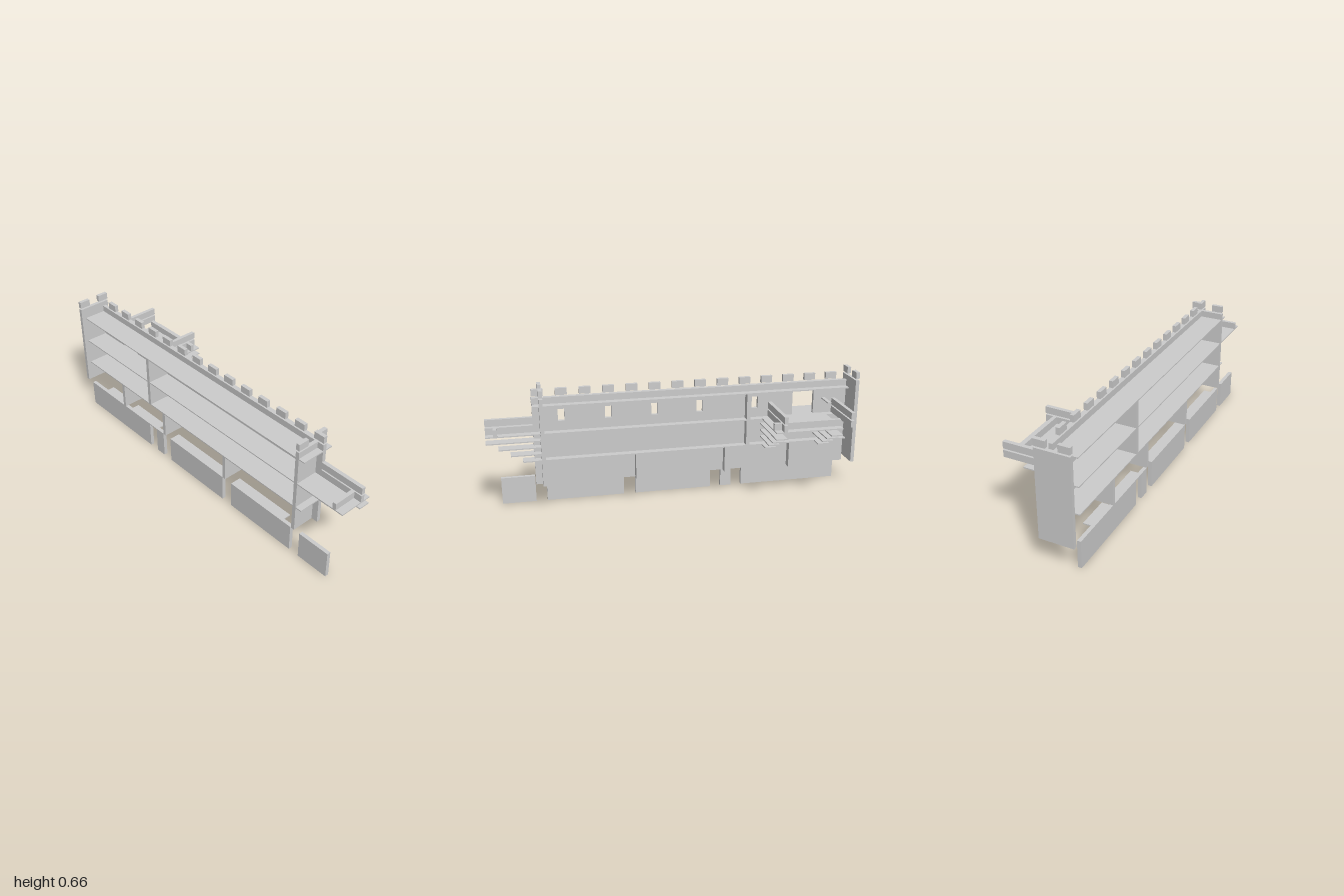
import * as THREE from 'three';

const mat = new THREE.MeshStandardMaterial({ color: 0xcccccc, flatShading: true });

export function createModel() {
  const root = new THREE.Group();

  // box given by its extents along each axis
  const box = (name, [x0, x1], [y0, y1], [z0, z1]) => {
    const m = new THREE.Mesh(new THREE.BoxGeometry(x1 - x0, y1 - y0, z1 - z0), mat);
    m.position.set((x0 + x1) / 2, (y0 + y1) / 2, (z0 + z1) / 2);
    m.name = name;
    root.add(m);
  };
  const rect = (C, z0, z1, y0, y1) => {
    const p = new C();
    p.moveTo(z0, y0); p.lineTo(z1, y0); p.lineTo(z1, y1); p.lineTo(z0, y1); p.closePath();
    return p;
  };

  const FULL = [-0.212, -0.032]; // depth of floors and dividers
  const WALL = [-0.091, -0.071]; // main wall thickness
  const LOW = [0.437, 0.473], HIGH = [0.481, 0.517], MERLON = [0.626, 0.662];

  // main wall with window slits and the balcony door
  const shape = rect(THREE.Shape, -0.94, 0.76, 0.147, 0.617);
  for (const z of [0.613, 0.37, 0.126, -0.117, -0.422])
    shape.holes.push(rect(THREE.Path, z - 0.017, z + 0.017, 0.488, 0.552));
  shape.holes.push(rect(THREE.Path, -0.755, -0.635, 0.437, 0.577));
  const wallGeo = new THREE.ExtrudeGeometry(shape, { depth: 0.02, bevelEnabled: false });
  wallGeo.rotateY(-Math.PI / 2).translate(-0.071, 0, 0);
  const wall = new THREE.Mesh(wallGeo, mat);
  wall.name = 'mainWall';
  root.add(wall);

  // floors running through the wall; the middle one carries the end balcony
  box('lowerFloor', FULL, [0.287, 0.293], [-0.94, 0.76]);
  box('middleFloor', FULL, [0.431, 0.437], [-0.94, 1]);
  box('upperFloor', FULL, [0.577, 0.583], [-0.94, 0.76]);

  // end walls and cross dividers
  box('frontEndWall', FULL, [0.147, 0.617], [0.705, 0.725]);
  box('backEndWall', FULL, [0.147, 0.617], [-1, -0.98]);
  for (const z of [0.225, -0.26, -0.623])
    box('lowerDivider', FULL, [0.147, 0.287], [z - 0.01, z + 0.01]);
  box('upperDivider', FULL, [0.293, 0.577], [-0.388, -0.368]);

  // merlons
  for (let i = 0; i < 14; i++) {
    const z = 0.73 - i * 0.1215;
    box('wallMerlon', WALL, MERLON, [z - 0.03, z + 0.03]);
  }
  for (const z of [[0.705, 0.725], [-1, -0.98]])
    for (const x of [[-0.212, -0.152], [-0.091, -0.032]]) box('endMerlon', x, MERLON, z);

  // ground level panels and the thin ledges at their tops
  for (const z of [[0.76, 0.94], [0.28, 0.7], [-0.21, 0.215], [-0.33, -0.27], [-0.94, -0.39]])
    box('groundPanel', [-0.212, -0.192], [0, 0.147], z);
  for (const z of [[0.28, 0.64], [-0.21, 0.215], [-0.575, -0.33], [-0.815, -0.635]])
    box('groundLedge', [-0.212, -0.152], [0.141, 0.147], z);

  // side balcony
  box('sideBalconyFloor', [-0.032, 0.21], [0.431, 0.437], [-0.82, -0.457]);
  box('sideBalconyRail', [0.15, 0.17], LOW, [-0.82, -0.457]);
  for (const z of [[-0.517, -0.497], [-0.88, -0.86]])
    for (const y of [LOW, HIGH]) box('sideBalconyCrossRail', [-0.091, 0.21], y, z);
  box('doorLintel', [-0.091, 0.03], [0.517, 0.523], [-0.82, -0.8]);

  // end balcony
  for (const y of [LOW, HIGH]) box('endBalconyRail', WALL, y, [0.76, 1]);
  box('endBalconyCrossRail', FULL, LOW, [0.94, 0.96]);

  // stepped corbel plates under both balconies
  for (let i = 0; i < 4; i++) {
    const y = [0.287 + i * 0.036, 0.293 + i * 0.036], reach = 0.06 * i;
    for (const z of [[-0.517, -0.457], [-0.82, -0.757]])
      box('sideCorbel', [-0.091, 0.03 + reach], y, z);
    box('endCorbel', [-0.091, -0.032], y, [0.705, 0.82 + reach]);
  }
  return root;
}
